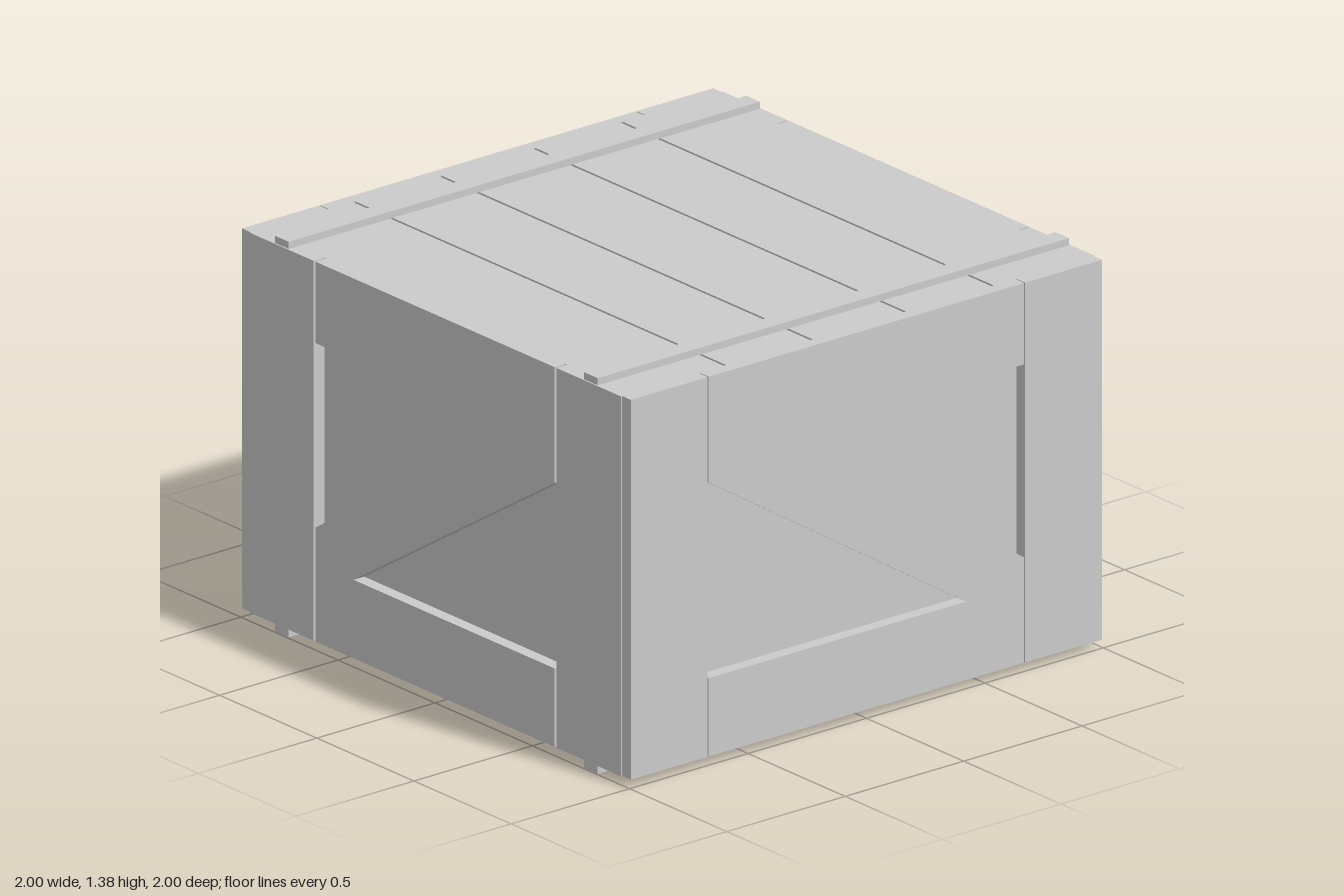
import * as THREE from 'three';

const Y0 = 0.03, Y1 = 1.36, T = 0.045;
const material = new THREE.MeshStandardMaterial({ color: 0xcccccc, flatShading: true });

// Box given by its minimum and maximum corners
function box(name, x0, x1, y0, y1, z0, z1) {
  const mesh = new THREE.Mesh(new THREE.BoxGeometry(x1 - x0, y1 - y0, z1 - z0), material);
  mesh.position.set((x0 + x1) / 2, (y0 + y1) / 2, (z0 + z1) / 2);
  mesh.name = name;
  return mesh;
}

// Frame of one wall facing +z: Z-shaped rails and brace between two corner boards
function wallFrame(name, { half, gap, end, outer, lowTip, highTip, low, high, flip }) {
  const frame = new THREE.Group();
  frame.name = name;
  const points = [
    [-half, Y0], [half, Y0], [half, 0.305], [lowTip, 0.305], [half, high],
    [half, Y1], [-half, Y1], [-half, 1.075], [highTip, 1.075], [-half, low],
  ].map(([x, y]) => new THREE.Vector2(x * flip, y));
  const brace = new THREE.Mesh(
    new THREE.ExtrudeGeometry(new THREE.Shape(points), { depth: T, bevelEnabled: false }), material);
  brace.position.z = outer - T;
  brace.name = 'railsAndBrace';
  frame.add(brace);
  frame.add(box('cornerBoardLeft', half + gap, end, Y0, Y1, outer - T, outer));
  frame.add(box('cornerBoardRight', -end, -half - gap, Y0, Y1, outer - T, outer));
  return frame;
}

export function createModel() {
  const crate = new THREE.Group();
  crate.name = 'crate';

  // Inner body, seen as the recessed wall panels and the bottom of the plank grooves
  const inner = 1 - T, grooveDepth = 0.03;
  crate.add(box('innerBody', -inner, inner, Y0 + grooveDepth, Y1 - grooveDepth, -inner, inner));

  // Lid and floor planks with narrow gaps, and the cross battens on them
  const cuts = [-inner, -0.57, -0.2, 0.195, 0.56, inner];
  for (const [part, a, b, c, d] of [
    ['lid', Y1 - grooveDepth, Y1, Y1, 1.385],
    ['floor', Y0, Y0 + grooveDepth, 0, Y0],
  ]) {
    for (let i = 0; i < cuts.length - 1; i++) {
      const z0 = cuts[i] + (i > 0 ? 0.005 : 0);
      const z1 = cuts[i + 1] - (i < cuts.length - 2 ? 0.005 : 0);
      crate.add(box(part + 'Plank', -inner, inner, a, b, z0, z1));
    }
    for (const s of [-1, 1]) {
      crate.add(box(part + 'Batten', s * 0.795 - 0.035, s * 0.795 + 0.035, c, d, -0.995, 0.995));
    }
  }

  // Four wall frames; opposite walls are turned by half a circle
  const longWall = { half: 0.615, gap: 0.01, end: 0.955, outer: 1,
    lowTip: -0.42, highTip: 0.41, low: 0.43, high: 0.955, flip: 1 };
  const sideWall = { half: 0.666, gap: 0.004, end: 0.995, outer: 1,
    lowTip: -0.42, highTip: 0.41, low: 0.4, high: 0.99, flip: -1 };
  ['frontWall', 'leftWall', 'backWall', 'rightWall'].forEach((name, i) => {
    const wall = wallFrame(name, i % 2 ? sideWall : longWall);
    wall.rotation.y = i * Math.PI / 2;
    crate.add(wall);
  });
  return crate;
}
